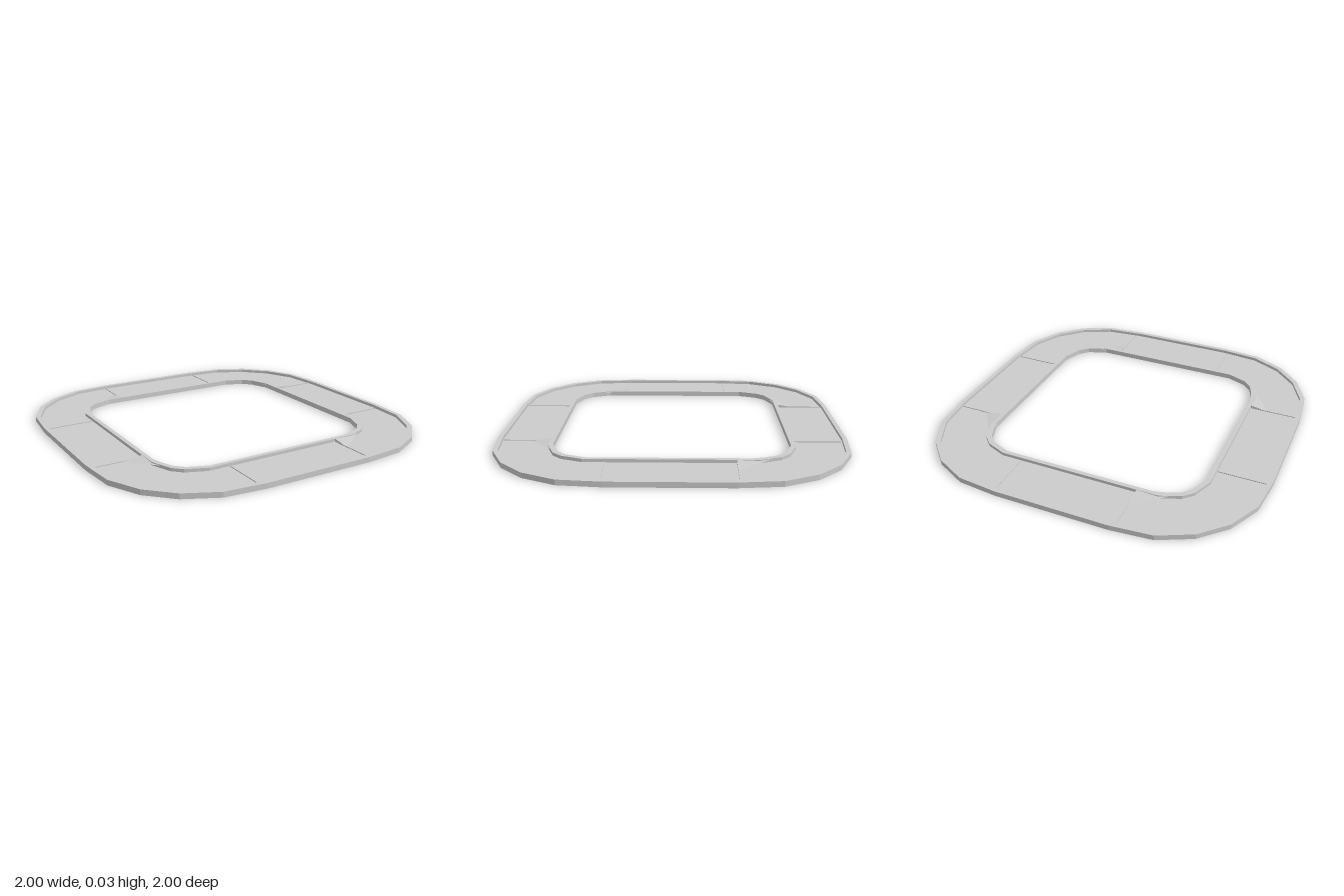
import * as THREE from 'three';

const FLOOR = 0.012, TOP = 0.03;
// One corner of each outline, repeated round the four quarters
const OUTER = [[1, 0.33], [0.977, 0.565], [0.887, 0.75], [0.75, 0.887], [0.565, 0.977], [0.33, 1]];
const INNER = [[0.665, 0.455], [0.62, 0.57], [0.57, 0.62], [0.455, 0.665]];

function outline(corner, scale = 1) {
  const points = [];
  for (let q = 0; q < 4; q++) {
    for (const [x, y] of corner) {
      points.push(new THREE.Vector2(x * scale, y * scale).rotateAround(new THREE.Vector2(), q * Math.PI / 2));
    }
  }
  return points;
}

// Flat ring between two outlines, standing from y0 to y1
function ring(outer, inner, y0, y1) {
  const shape = new THREE.Shape(outer);
  shape.holes.push(new THREE.Path(inner));
  const geometry = new THREE.ExtrudeGeometry(shape, { depth: y1 - y0, bevelEnabled: false });
  geometry.rotateX(-Math.PI / 2);
  geometry.translate(0, y0, 0);
  return geometry;
}

export function createModel() {
  const model = new THREE.Group();
  const material = new THREE.MeshStandardMaterial({ color: 0xcccccc, flatShading: true });
  const sheet = new THREE.MeshStandardMaterial({ color: 0xcccccc, flatShading: true, side: THREE.DoubleSide });
  const add = (name, geometry, mat = material) => {
    const mesh = new THREE.Mesh(geometry, mat);
    mesh.name = name;
    model.add(mesh);
    return mesh;
  };

  // Road bed and the two low kerbs
  add('trackFloor', ring(outline(OUTER), outline(INNER), 0, FLOOR));
  add('outerKerb', ring(outline(OUTER), outline(OUTER, 0.974), FLOOR, TOP));
  add('innerKerb', ring(outline(INNER, 1.037), outline(INNER), FLOOR, TOP));

  // Sloping wedge from the inner kerb down to the road: top face and end face
  const a = [0.35, TOP, 0.685], b = [0.35, FLOOR, 0.8], c = [0.58, TOP, 0.63], d = [0.35, FLOOR, 0.685];
  const wedge = new THREE.BufferGeometry();
  wedge.setAttribute('position', new THREE.Float32BufferAttribute([a, b, c, a, d, b, b, d, c].flat(), 3));
  wedge.computeVertexNormals();

  // One wedge and two thin section joints on each quarter
  for (let q = 0; q < 4; q++) {
    add('cornerWedge', wedge, sheet).rotation.y = q * Math.PI / 2;
    for (const x of [-0.35, 0.35]) {
      const joint = new THREE.BoxGeometry(0.004, 0.005, 0.27);
      joint.translate(x, FLOOR + 0.0025, 0.83);
      add('sectionJoint', joint).rotation.y = q * Math.PI / 2;
    }
  }
  return model;
}
